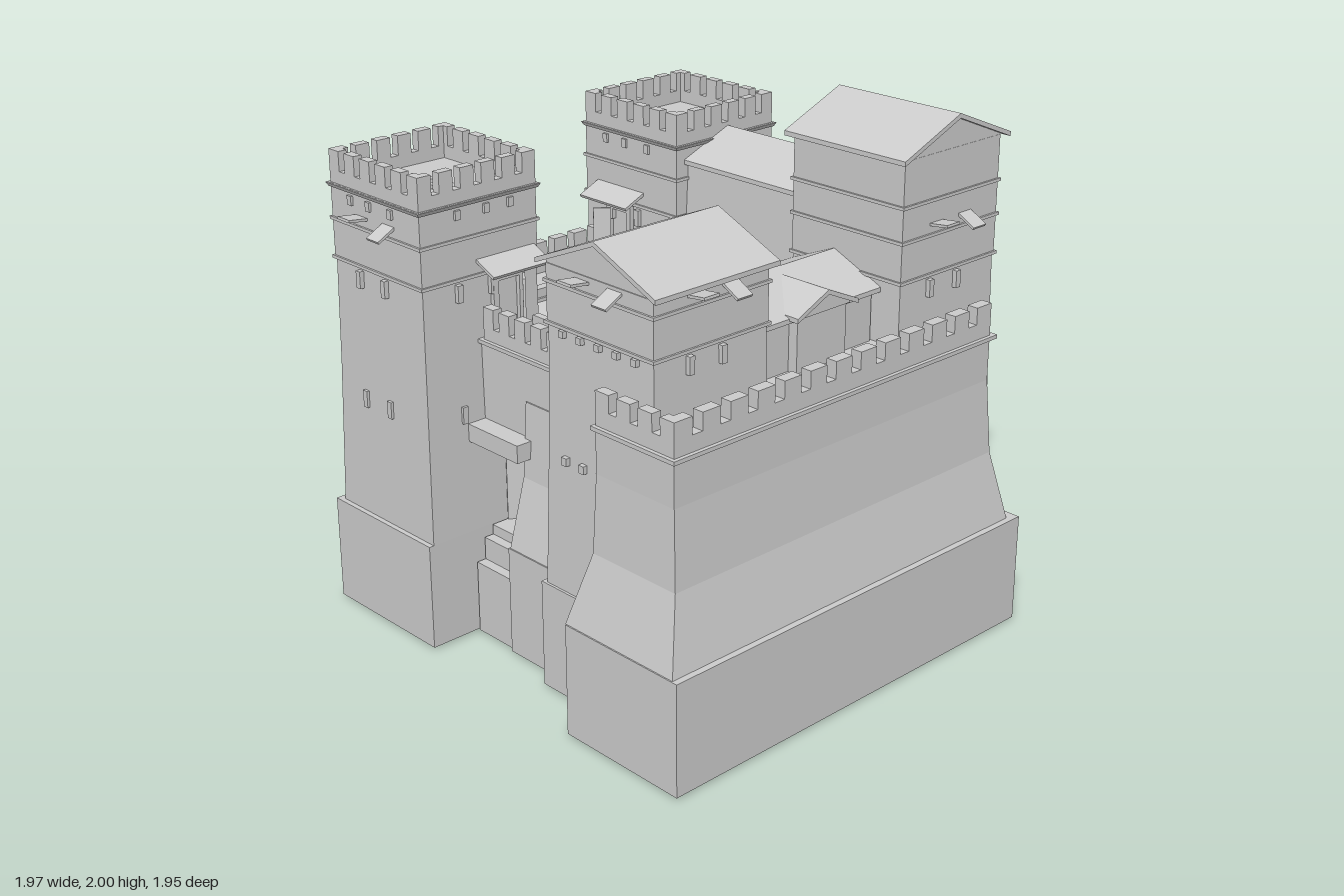
import * as THREE from 'three';

const mat = new THREE.MeshStandardMaterial({ color: 0xcccccc, flatShading: true, side: THREE.DoubleSide });

function add(parent, name, geo) {
  const m = new THREE.Mesh(geo, mat);
  m.name = name;
  parent.add(m);
  return m;
}

function box(parent, name, x0, x1, y0, y1, z0, z1) {
  const m = add(parent, name, new THREE.BoxGeometry(x1 - x0, y1 - y0, z1 - z0));
  m.position.set((x0 + x1) / 2, (y0 + y1) / 2, (z0 + z1) / 2);
  return m;
}

// Stack of rectangular sections, each [y, x0, x1, z0, z1]; open underneath
function loft(parent, name, levels) {
  const pos = [], idx = [];
  for (const [y, x0, x1, z0, z1] of levels) pos.push(x0, y, z1, x1, y, z1, x1, y, z0, x0, y, z0);
  for (let l = 0; l < levels.length - 1; l++) {
    for (let i = 0; i < 4; i++) {
      const a = l * 4 + i, b = l * 4 + (i + 1) % 4;
      idx.push(a, b, b + 4, a, b + 4, a + 4);
    }
  }
  const t = (levels.length - 1) * 4;
  idx.push(t, t + 1, t + 2, t, t + 2, t + 3);
  const g = new THREE.BufferGeometry();
  g.setAttribute('position', new THREE.Float32BufferAttribute(pos, 3));
  g.setIndex(idx);
  const flat = g.toNonIndexed();
  flat.computeVertexNormals();
  return add(parent, name, flat);
}

// Hollow foundation block, open underneath
const foundation = (parent, name, x0, x1, y0, y1, z0, z1) =>
  loft(parent, name, [[y0, x0, x1, z0, z1], [y1, x0, x1, z0, z1]]);

// Extrudes a side profile of [across, y] points; ridge runs along z, or along x
function prism(parent, name, pts, from, to, alongX = false) {
  const s = new THREE.Shape(pts.map(([a, y]) => new THREE.Vector2(alongX ? -a : a, y)));
  const g = new THREE.ExtrudeGeometry(s, { depth: to - from, bevelEnabled: false });
  g.translate(0, 0, from);
  if (alongX) g.rotateY(Math.PI / 2);
  return add(parent, name, g);
}

// Pitched roof plate over a solid gable that meets its underside
function gable(parent, name, mid, half, eave, ridge, from, to, alongX, t = 0.018) {
  prism(parent, name + 'Roof', [[mid - half, eave], [mid, ridge], [mid + half, eave],
    [mid + half, eave - t], [mid, ridge - t], [mid - half, eave - t]], from, to, alongX);
  const w = half * 0.9, side = eave - t + (ridge - eave) * 0.1;
  prism(parent, name + 'Gable', [[mid - w, eave - t], [mid - w, side], [mid, ridge - t], [mid + w, side], [mid + w, eave - t]],
    from + 0.025, to - 0.025, alongX);
}

// Low parapet with merlons between a and b, running along x or z
function battlement(parent, alongX, a, b, c0, c1, y0, yc, yt, n) {
  const fill = 0.64, pitch = (b - a) / (n - 1 + fill);
  const put = (nm, p, q, lo, hi) => alongX
    ? box(parent, nm, p, q, lo, hi, c0, c1) : box(parent, nm, c0, c1, lo, hi, p, q);
  put('parapet', a, b, y0, yc);
  for (let i = 0; i < n; i++) put('merlon', a + i * pitch, a + (i + fill) * pitch, yc, yt);
}

// Tower centred on cx, cz: tapered shaft and banded upper storey.
// Faces: 0 front, 1 left, 2 back, 3 right
function tower(root, name, cx, cz, top, { corbels, windows, shutters, base }) {
  foundation(root, name + 'Base', ...base);
  const g = new THREE.Group();
  g.name = name;
  g.position.set(cx, 0, cz);
  root.add(g);
  const sq = (y, h) => [y, -h, h, -h, h];
  loft(g, 'shaft', [sq(0.43, 0.28), sq(1.0, 0.266), sq(1.42, 0.26)]);
  loft(g, 'upperStorey', [sq(1.42, 0.264), sq(top, 0.264)]);
  for (const y of [1.42, 1.57, 1.7]) if (y < top + 0.01) loft(g, 'stringCourse', [sq(y - 0.006, 0.272), sq(y + 0.006, 0.272)]);
  for (let i = 0; i < 4; i++) {
    const f = new THREE.Group();
    f.name = 'face';
    f.rotation.y = i * Math.PI / 2;
    g.add(f);
    // raised and lowered shutters
    if (shutters.includes(i)) [[-0.08, -0.12], [0.08, 0.5]].forEach(([x, tilt]) => {
      const s = add(f, 'shutter', new THREE.BoxGeometry(0.07, 0.01, 0.09).translate(0, 0, 0.03));
      s.position.set(x, 1.61, 0.268);
      s.rotation.x = tilt;
    });
    if (windows.includes(i)) for (const x of [-0.105, 0.045]) for (const y of [0.9, 1.37])
      box(f, 'window', x - 0.012, x + 0.012, y - 0.033, y + 0.033, 0.24, 0.279);
    if (corbels.includes(i)) for (let k = -2; k <= 2; k++) for (const y of [0.935, 1.405])
      box(f, 'corbel', k * 0.095 - 0.013, k * 0.095 + 0.013, y - 0.014, y + 0.014, 0.25, 0.29);
  }
  return g;
}

// Crenellated top with beam ends below and loose planks on the platform
function crown(g) {
  loft(g, 'platformLedge', [[1.69, -0.27, 0.27, -0.27, 0.27], [1.705, -0.278, 0.278, -0.278, 0.278]]);
  for (const s of [-1, 1]) {
    const c0 = s > 0 ? 0.228 : -0.264, c1 = c0 + 0.036;
    battlement(g, true, -0.264, 0.264, c0, c1, 1.7, 1.755, 1.83, 6);
    battlement(g, false, -0.264, 0.264, c0, c1, 1.7, 1.755, 1.83, 6);
    for (const k of [-0.14, -0.03, 0.1]) {
      box(g, 'beamEnd', k - 0.012, k + 0.012, 1.645, 1.68, s * 0.262 - 0.012, s * 0.262 + 0.012);
      box(g, 'beamEnd', s * 0.262 - 0.012, s * 0.262 + 0.012, 1.645, 1.68, k - 0.012, k + 0.012);
    }
  }
  [[-0.03, 0.02, 0.3], [0.1, 0.0, -0.4], [0.1, 0.05, 0.1]].forEach(([x, z, r]) => {
    box(g, 'plank', x - 0.06, x + 0.06, 1.71, 1.725, z - 0.013, z + 0.013).rotation.y = r;
  });
}

// Doorway with open leaf and sloping awning on the face of a tower, facing angle ry
function doorAwning(root, x, z, ry) {
  const g = new THREE.Group();
  g.name = 'doorAwning';
  g.position.set(x, 0, z);
  g.rotation.y = ry;
  root.add(g);
  box(g, 'awning', -0.135, 0.135, 1.445, 1.457, -0.01, 0.1).rotation.x = 0.42;
  box(g, 'doorLeaf', -0.035, 0.035, 1.18, 1.41, 0.095, 0.105).rotation.y = 0.9;
  for (const s of [-0.06, 0.06]) box(g, 'doorJamb', s - 0.012, s + 0.012, 1.17, 1.4, -0.01, 0.015);
  box(g, 'doorLintel', -0.072, 0.072, 1.38, 1.41, -0.01, 0.015);
}

export function createModel() {
  const root = new THREE.Group();
  root.name = 'castle';

  // Four corner towers
  crown(tower(root, 'frontRightTower', -0.64, 0.63, 1.7,
    { corbels: [2, 3], windows: [0, 1], shutters: [0, 3], base: [-0.95, -0.36, 0.01, 0.43, 0.34, 0.93] }));
  crown(tower(root, 'backRightTower', -0.635, -0.6, 1.7,
    { corbels: [2, 3], windows: [0, 1], shutters: [2, 3], base: [-0.93, -0.35, 0.01, 0.43, -0.9, -0.31] }));
  const c = tower(root, 'frontLeftTower', 0.425, 0.51, 1.63,
    { corbels: [], windows: [1], shutters: [0, 1], base: [0.125, 0.6, 0.01, 0.43, 0.22, 0.8] });
  gable(c, 'tower', 0, 0.295, 1.645, 1.77, -0.285, 0.285, false);
  for (let k = -2; k <= 2; k++) box(c, 'corbel', k * 0.09 - 0.012, k * 0.09 + 0.012, 1.385, 1.41, 0.25, 0.278);
  for (const x of [-0.17, -0.08, 0.01]) box(c, 'corbel', x - 0.013, x + 0.013, 0.92, 0.95, 0.25, 0.285);
  const d = tower(root, 'backLeftTower', 0.48, -0.635, 1.87,
    { corbels: [2, 3], windows: [0, 1], shutters: [1, 2], base: [0.12, 0.78, 0, 0.43, -0.935, -0.33] });
  gable(d, 'tower', 0, 0.293, 1.88, 2.0, -0.288, 0.288, true);

  // Great flared wall on the left side
  foundation(root, 'leftWallBase', 0.44, 0.99, 0.01, 0.44, -0.83, 0.96);
  loft(root, 'leftWall', [[0.44, 0.435, 0.965, -0.785, 0.955], [0.71, 0.505, 0.905, -0.735, 0.885],
    [1.0, 0.51, 0.885, -0.72, 0.87], [1.17, 0.51, 0.885, -0.72, 0.87]]);
  box(root, 'leftWallLedge', 0.5, 0.9, 1.16, 1.175, -0.745, 0.885);
  battlement(root, false, -0.72, 0.87, 0.84, 0.885, 1.17, 1.235, 1.3, 13);
  battlement(root, true, 0.51, 0.885, 0.83, 0.87, 1.17, 1.235, 1.3, 4);

  // Hall beside the left wall, with a dormer and a courtyard porch
  loft(root, 'leftHall', [[0.01, 0.2, 0.62, -0.36, 0.25], [1.38, 0.23, 0.62, -0.36, 0.25]]);
  gable(root, 'leftHall', 0.425, 0.225, 1.385, 1.48, -0.38, 0.25, false);
  box(root, 'dormer', 0.45, 0.66, 1.17, 1.38, -0.18, 0.07);
  gable(root, 'dormer', -0.055, 0.155, 1.395, 1.465, 0.44, 0.69, true);
  foundation(root, 'porch', 0.08, 0.24, 0.01, 0.92, -0.12, 0.22);
  gable(root, 'porch', 0.05, 0.2, 0.93, 1.02, 0.06, 0.24, true);
  foundation(root, 'porchStep', 0.03, 0.2, 0.01, 0.36, -0.08, 0.18);

  // Back hall with pitched roof, two rows of windows and a sloping apron
  foundation(root, 'backHallBase', -0.36, 0.2, 0.01, 0.43, -0.58, -0.2);
  loft(root, 'backHall', [[0.43, -0.4, 0.25, -0.85, -0.24], [1.0, -0.4, 0.25, -0.83, -0.37],
    [1.64, -0.4, 0.25, -0.82, -0.4]]);
  gable(root, 'backHall', -0.615, 0.237, 1.645, 1.74, -0.4, 0.24, true);
  prism(root, 'apron', [[-0.82, 1.0], [-0.85, 1.0], [-0.97, 0.37], [-0.94, 0.37]], -0.41, 0.27, true);
  for (const y of [1.26, 1.33, 1.4, 1.5, 1.6]) box(root, 'hallLedge', -0.4, 0.25, y - 0.01, y + 0.01, -0.845, -0.8);
  for (let i = 0; i < 8; i++) {
    const x = -0.34 + i * 0.074;
    for (const y of [1.41, 1.51]) box(root, 'windowPier', x - 0.018, x + 0.018, y, y + 0.08, -0.84, -0.81);
  }

  // Lean-to roofs around the courtyard
  prism(root, 'backLeanTo', [[-0.4, 1.2], [-0.195, 1.11], [-0.195, 1.09], [-0.4, 1.15]], -0.56, 0.22, true);
  prism(root, 'rightLeanTo', [[-0.57, 1.17], [-0.36, 1.08], [-0.36, 1.06], [-0.57, 1.12]], -0.2, 0.36);

  // Right curtain wall
  foundation(root, 'rightWallBase', -0.91, -0.37, 0.01, 0.43, -0.32, 0.35);
  loft(root, 'rightWall', [[0.43, -0.9, -0.39, -0.34, 0.37], [0.71, -0.85, -0.5, -0.34, 0.37],
    [1.0, -0.83, -0.55, -0.34, 0.37], [1.17, -0.83, -0.55, -0.34, 0.37]]);
  box(root, 'rightWallLedge', -0.845, -0.55, 1.16, 1.175, -0.34, 0.37);
  battlement(root, false, -0.33, 0.36, -0.82, -0.78, 1.17, 1.235, 1.3, 7);
  box(root, 'rightWallKerb', -0.6, -0.56, 1.17, 1.21, -0.33, 0.36);

  // Front gate wall: passage with open leaf, flared pier, lintel and stairs
  box(root, 'gateWall', -0.39, 0.18, 0.8, 1.17, 0.38, 0.64);
  box(root, 'gateWallLedge', -0.39, 0.18, 1.16, 1.175, 0.37, 0.655);
  battlement(root, true, -0.36, 0.14, 0.6, 0.64, 1.17, 1.225, 1.3, 6);
  box(root, 'gateWallKerb', -0.36, 0.14, 1.17, 1.21, 0.38, 0.41);
  foundation(root, 'gatePierBase', -0.14, 0.14, 0.01, 0.44, 0.28, 0.735);
  loft(root, 'gatePier', [[0.44, -0.135, 0.16, 0.29, 0.73], [0.71, -0.125, 0.16, 0.36, 0.665], [1.0, -0.125, 0.16, 0.375, 0.645]]);
  box(root, 'gateLeaf', -0.395, -0.195, 0.43, 0.79, 0.475, 0.49).rotation.y = 0.98;
  box(root, 'gateLintel', -0.37, -0.09, 0.79, 0.86, 0.6, 0.72);
  [[0.43, 0.64], [0.39, 0.68], [0.3, 0.72]].forEach(([y, z]) => foundation(root, 'gateStep', -0.35, -0.14, 0.01, y, 0.37, z));

  // Doors from the towers onto the wall walks
  doorAwning(root, -0.375, 0.515, Math.PI / 2);
  doorAwning(root, 0.16, 0.515, -Math.PI / 2);
  doorAwning(root, -0.695, 0.365, Math.PI);
  doorAwning(root, -0.695, -0.335, 0);
  return root;
}
